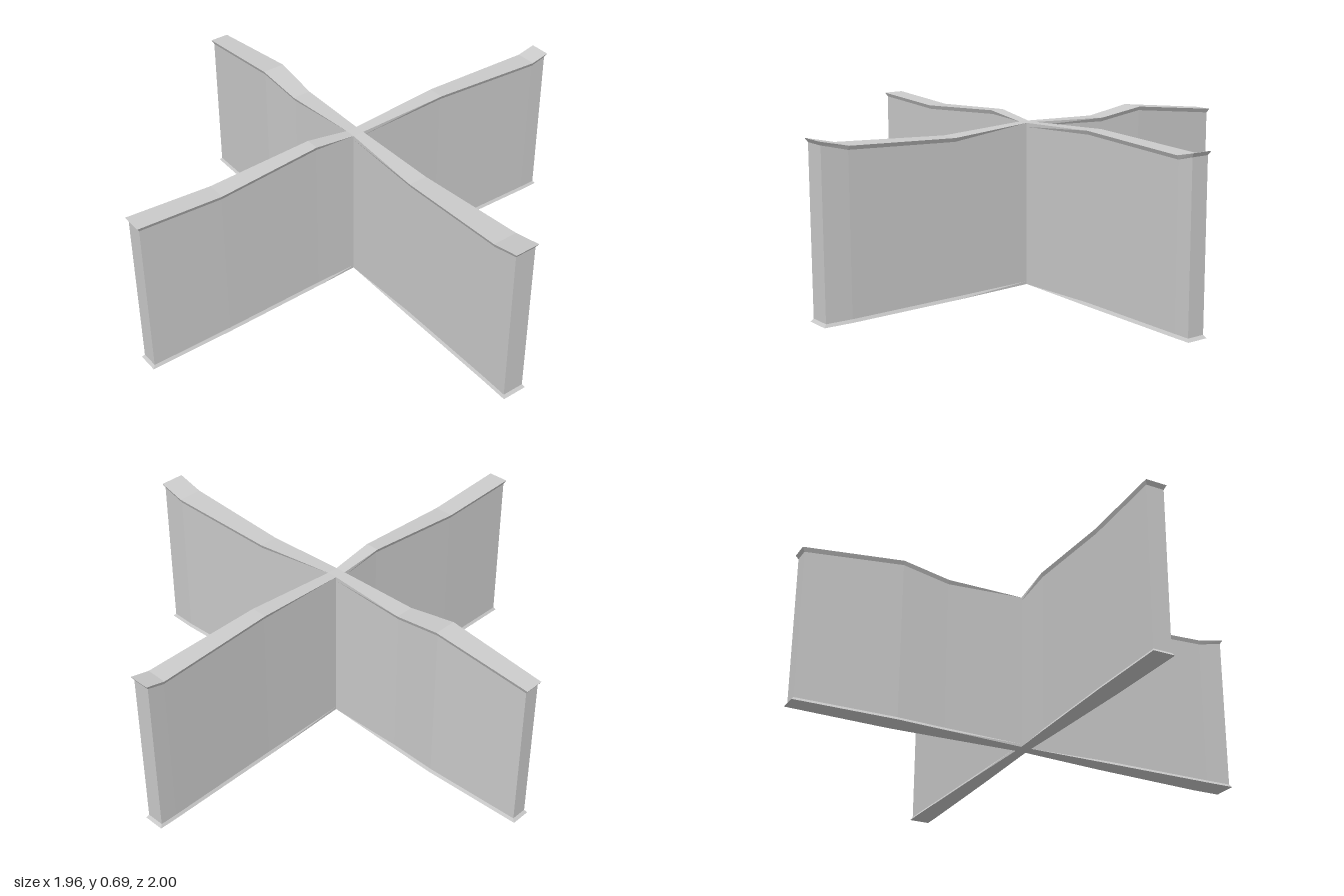
import * as THREE from 'three';

const material = new THREE.MeshStandardMaterial({ color: 0xcccccc, flatShading: true });
const LIP = 0.007; // how far the top and bottom rims stand proud of the wall

// One wall running along +x. Stations: [distance, back z, front z, height]
function wall(name, angle, stations) {
  const rings = stations.map(([d, lo, hi, h], i) => {
    const f = i === 0 ? 0 : LIP;
    const e = i === stations.length - 1 ? 0.01 : 0;
    return [
      [d, 0, hi], [d - e, 0.012, hi - f], [d - e, h - 0.016, hi - f], [d, h, hi],
      [d, h, lo], [d - e, h - 0.016, lo + f], [d - e, 0.012, lo + f], [d, 0, lo],
    ];
  });
  const positions = [];
  const quad = (a, b, c, d) => [a, b, c, a, c, d].forEach((p) => positions.push(...p));

  // Sides, top and underside
  for (let i = 0; i + 1 < rings.length; i++) {
    for (let j = 0; j < 8; j++) {
      const k = (j + 1) % 8;
      quad(rings[i][j], rings[i + 1][j], rings[i + 1][k], rings[i][k]);
    }
  }
  // Outer end with its flared rims
  const end = rings[rings.length - 1];
  for (let j = 0; j < 3; j++) quad(end[j], end[7 - j], end[6 - j], end[j + 1]);

  const geometry = new THREE.BufferGeometry();
  geometry.setAttribute('position', new THREE.Float32BufferAttribute(positions, 3));
  geometry.computeVertexNormals();
  const mesh = new THREE.Mesh(geometry, material);
  mesh.name = name;
  mesh.rotation.y = angle;
  return mesh;
}

export function createModel() {
  const group = new THREE.Group();
  group.name = 'crossWalls';

  // Core where the four walls meet
  const core = new THREE.Mesh(new THREE.BoxGeometry(0.044, 0.665, 0.048), material);
  core.position.set(0, 0.3325, -0.006);
  core.name = 'core';
  group.add(core);

  // Four walls, thin at the core and thicker outward, with uneven tops
  group.add(
    wall('leftWall', 0, [
      [0.022, -0.03, 0.018, 0.665], [0.38, -0.053, 0.027, 0.643],
      [0.86, -0.07, 0.036, 0.665], [0.98, -0.066, 0.04, 0.692],
    ]),
    wall('rightWall', Math.PI, [
      [0.022, -0.018, 0.03, 0.665], [0.36, -0.033, 0.046, 0.653],
      [0.56, -0.042, 0.054, 0.683], [0.98, -0.034, 0.046, 0.636],
    ]),
    wall('frontWall', -Math.PI / 2, [
      [0.018, -0.022, 0.022, 0.665], [0.2, -0.029, 0.029, 0.69],
      [0.64, -0.041, 0.041, 0.662], [1, -0.044, 0.044, 0.68],
    ]),
    wall('backWall', Math.PI / 2, [
      [0.03, -0.022, 0.022, 0.665], [0.42, -0.034, 0.034, 0.684],
      [0.92, -0.044, 0.044, 0.662], [1, -0.044, 0.044, 0.68],
    ]),
  );
  return group;
}
